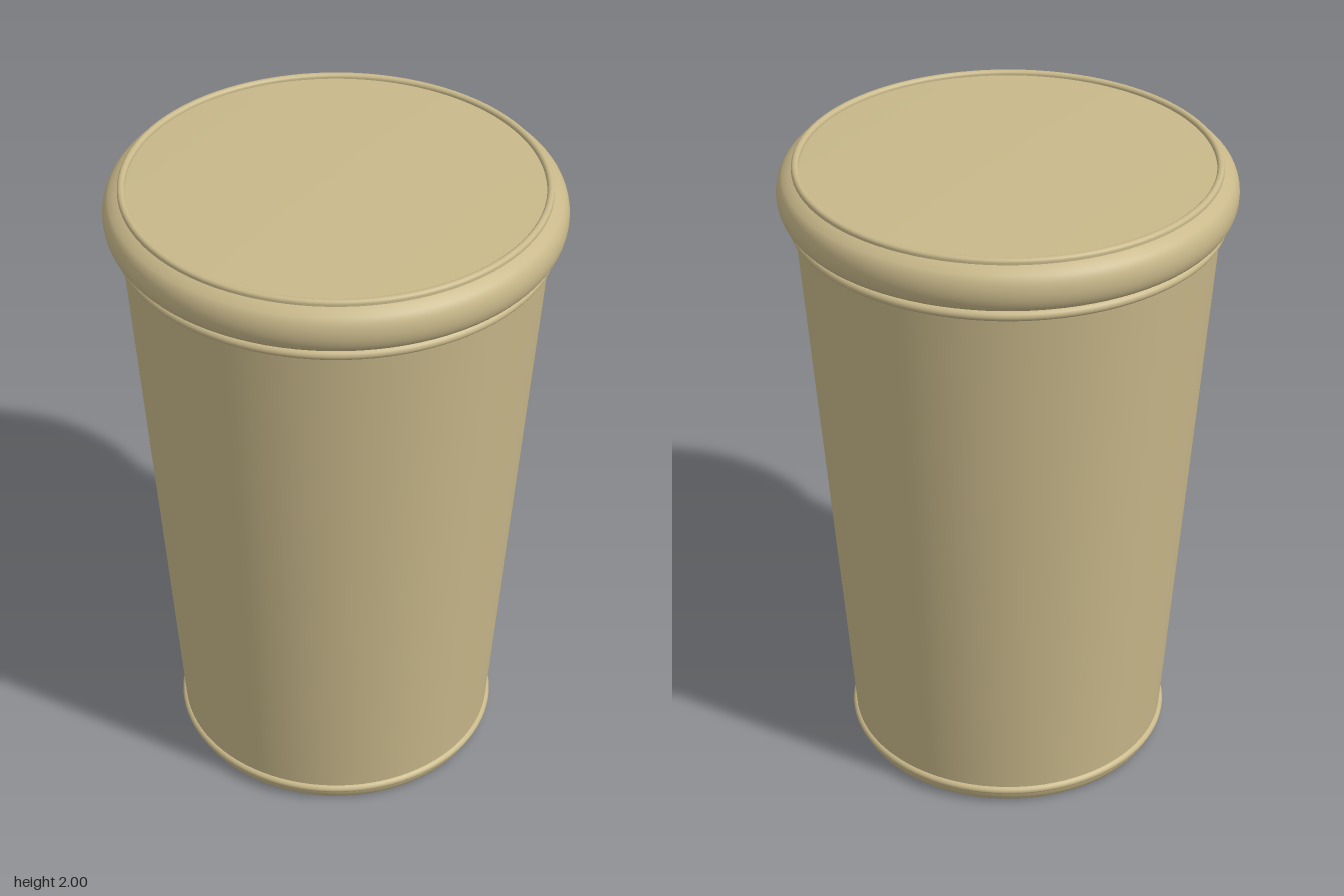
import * as THREE from 'three';

const material = new THREE.MeshStandardMaterial({ color: 0xc8b88a });

// Turned part from a profile of [radius, height] points, listed bottom to top
function turned(name, profile) {
  const points = profile.map(([r, y]) => new THREE.Vector2(r, y));
  const mesh = new THREE.Mesh(new THREE.LatheGeometry(points, 96), material);
  mesh.name = name;
  return mesh;
}

// Rounded profile running from angle a0 to a1 (degrees) on an ellipse
function arc(r, y, rx, ry, a0, a1, steps = 10) {
  return Array.from({ length: steps + 1 }, (_, i) => {
    const a = THREE.MathUtils.degToRad(a0 + ((a1 - a0) * i) / steps);
    return [r + rx * Math.cos(a), y + ry * Math.sin(a)];
  });
}

export function createModel() {
  const cup = new THREE.Group();
  cup.name = 'lidded cup';

  // Tapered wall
  cup.add(turned('wall', [[0.496, 0.05], [0.625, 1.83]]));

  // Foot: flat base, chamfer and a small bead
  cup.add(turned('base', [[0, 0], [0.478, 0]]));
  cup.add(turned('foot', [[0.478, 0], [0.487, 0.006], [0.497, 0.022], [0.5, 0.036]]));
  cup.add(turned('footBead', arc(0.492, 0.048, 0.016, 0.014, -90, 90)));

  // Bead under the lid
  cup.add(turned('neckBead', arc(0.627, 1.831, 0.018, 0.016, -90, 90)));

  // Bulging lid skirt
  cup.add(turned('lidSkirt', [
    [0.6, 1.845], [0.628, 1.846], [0.642, 1.852],
    ...arc(0.634, 1.912, 0.038, 0.062, -60, 60, 14),
    [0.64, 1.977], [0.626, 1.984],
  ]));

  // Thin raised rim around the lid
  cup.add(turned('lidRim', [[0.626, 1.984], ...arc(0.615, 1.99, 0.011, 0.01, 0, 180), [0.604, 1.984]]));

  // Very slightly domed lid top
  cup.add(turned('lidTop', Array.from({ length: 9 }, (_, i) => {
    const t = 1 - i / 8;
    return [0.605 * t, 1.998 - 0.012 * t * t];
  })));

  return cup;
}
